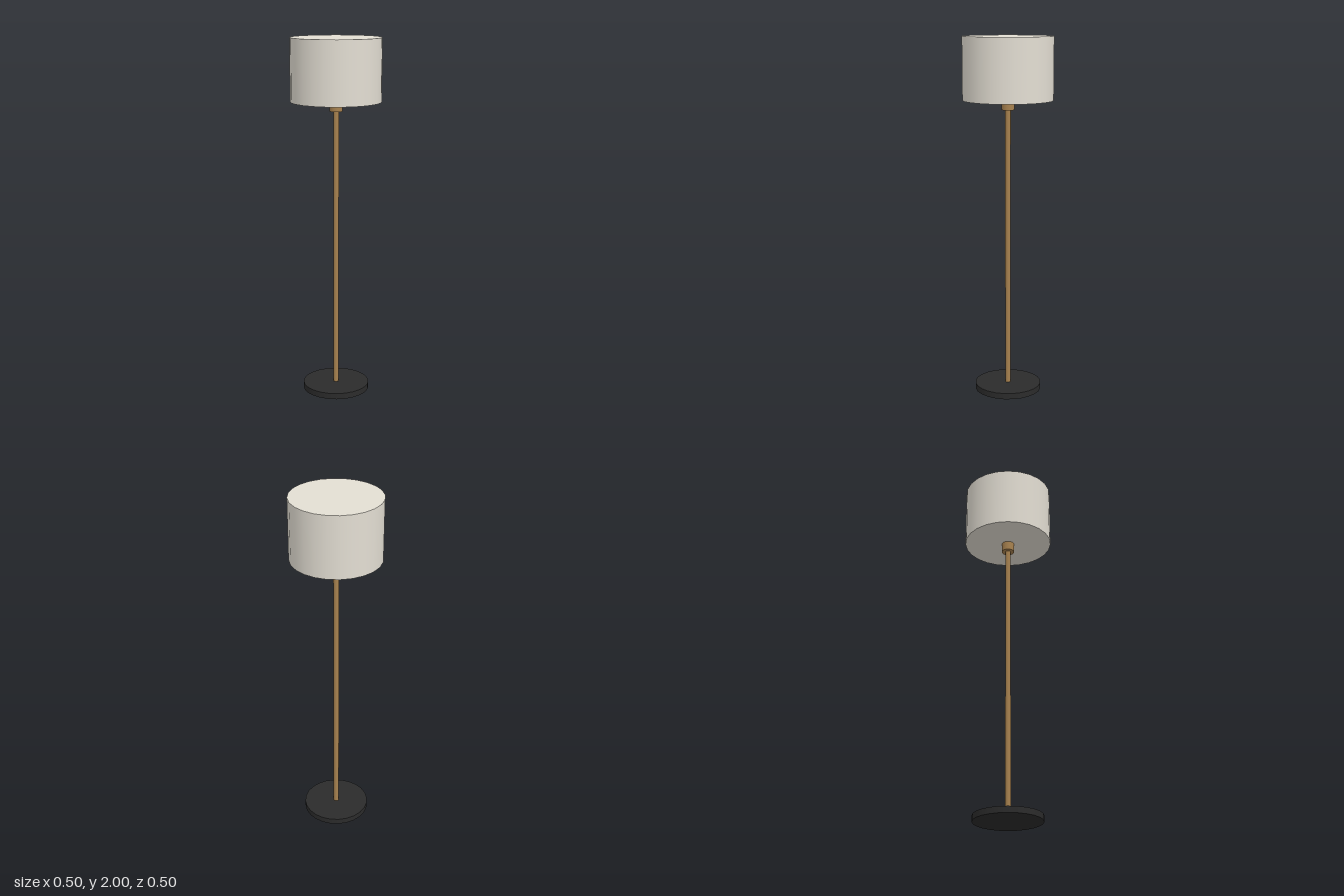
import * as THREE from 'three';

const BRASS = new THREE.MeshStandardMaterial({ color: 0xa8824f });
const BLACK = new THREE.MeshStandardMaterial({ color: 0x2b2b2b });
const FABRIC = new THREE.MeshStandardMaterial({ color: 0xe3ded3 });

// Upright capped cylinder spanning two heights
function column(name, radius, bottom, top, sides, material) {
  const geometry = new THREE.CylinderGeometry(radius, radius, top - bottom, sides);
  const mesh = new THREE.Mesh(geometry, material);
  mesh.name = name;
  mesh.position.y = (bottom + top) / 2;
  return mesh;
}

export function createModel() {
  const lamp = new THREE.Group();
  lamp.name = 'floorLamp';
  lamp.add(
    column('base', 0.1875, 0, 0.034, 24, BLACK),
    column('pole', 0.0155, 0.034, 1.63, 12, BRASS),
    // Socket rises slightly into the closed drum shade
    column('socket', 0.036, 1.604, 1.68, 16, BRASS),
    column('shade', 0.249, 1.656, 2, 24, FABRIC)
  );
  return lamp;
}
